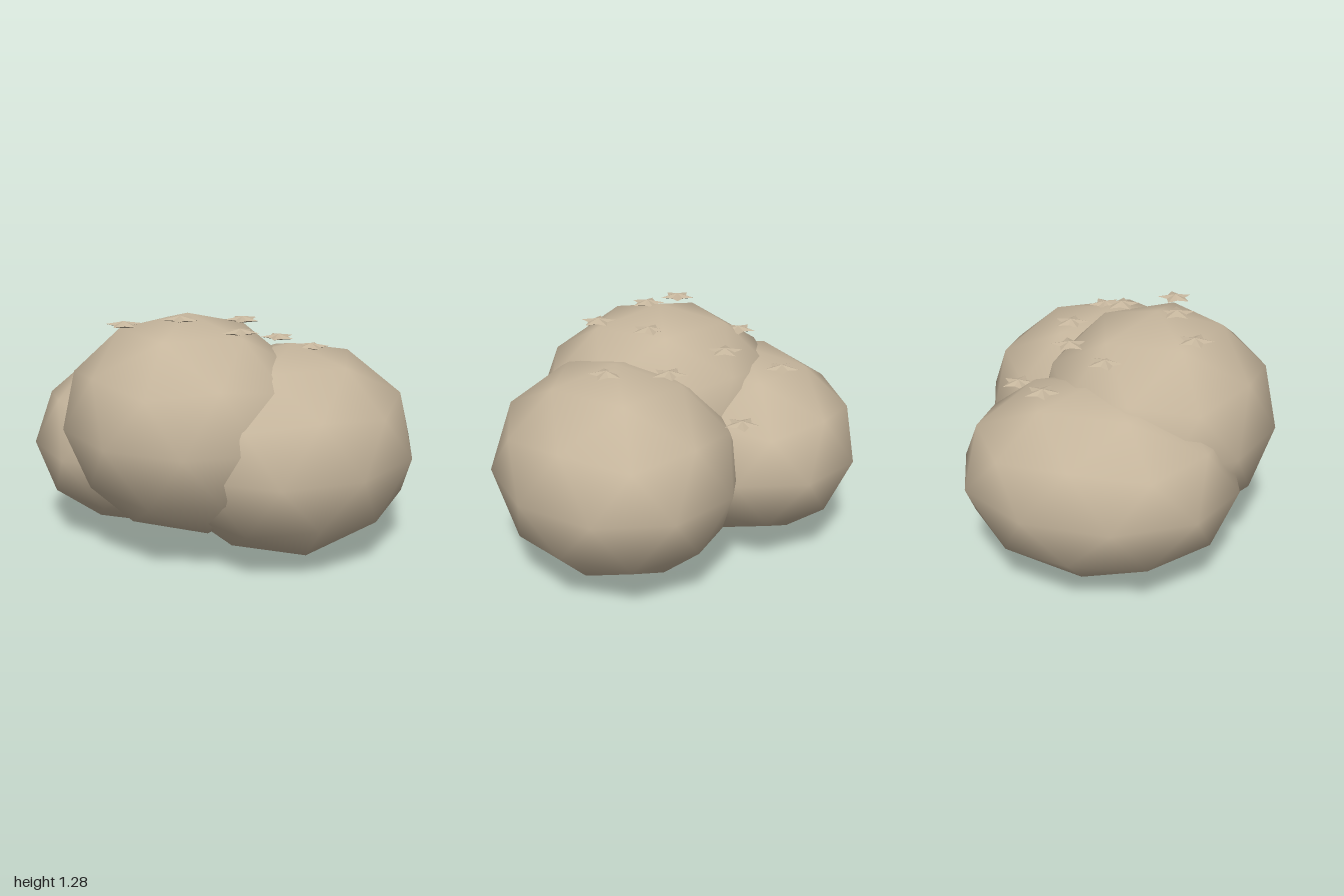
import * as THREE from 'three';

const stone = new THREE.MeshStandardMaterial({ color: 0xc6b69d });
stone.name = 'sandy stone';

// Smooth low-poly boulder: an icosphere with a vertex at each pole, scaled to an ellipsoid
function boulder(name, centre, radii) {
  const geo = new THREE.IcosahedronGeometry(1, 1);
  geo.rotateZ(-Math.atan(2 / (1 + Math.sqrt(5))));
  geo.scale(...radii);
  const mesh = new THREE.Mesh(geo, stone);
  mesh.name = name;
  mesh.position.set(...centre);
  return mesh;
}

// Thin faceted five-pointed star: a ten-sided double pyramid with every second corner pulled in
function starGeometry(outer, inner, halfHeight) {
  const geo = new THREE.SphereGeometry(1, 10, 2).toNonIndexed();
  const p = geo.attributes.position;
  for (let i = 0; i < p.count; i++) {
    const x = p.getX(i), y = p.getY(i), z = p.getZ(i);
    if (Math.abs(y) > 0.5) {
      p.setXYZ(i, 0, Math.sign(y) * halfHeight, 0);
    } else {
      const a = Math.atan2(z, x);
      const step = Math.round(a / (Math.PI / 5));
      const r = step % 2 === 0 ? outer : inner;
      p.setXYZ(i, r * Math.cos(a), 0, r * Math.sin(a));
    }
  }
  geo.computeVertexNormals();
  return geo;
}

export function createModel() {
  const model = new THREE.Group();
  model.name = 'boulderCluster';

  // Three overlapping boulders
  model.add(
    boulder('rightBoulder', [-0.43, 0.53, 0.02], [0.602, 0.51, 0.73]),
    boulder('leftBoulder', [0.39, 0.56, -0.13], [0.637, 0.56, 0.73]),
    boulder('frontBoulder', [-0.02, 0.7, 0.22], [0.69, 0.58, 0.635])
  );

  // Star-shaped growths lying flat on top: x, y, z, turn
  const geo = starGeometry(0.095, 0.052, 0.018);
  const stars = [
    [0.01, 1.265, 0.31, -1.5], [-0.24, 1.228, 0.46, -2.4], [0.33, 1.228, 0.23, -1.7],
    [0.15, 1.23, -0.02, -1.4], [-0.41, 1.135, 0.05, -1.1], [-0.2, 1.12, -0.2, -1.7],
    [0.17, 1.09, -0.31, -1.3], [0.46, 1.1, -0.2, -2.0], [-0.52, 0.99, -0.24, -1.1],
    [-0.14, 0.84, -0.51, -1.2],
  ];
  for (const [x, y, z, turn] of stars) {
    const star = new THREE.Mesh(geo, stone);
    star.name = 'starGrowth';
    star.position.set(x, y, z);
    star.rotation.y = -turn;
    model.add(star);
  }
  return model;
}
